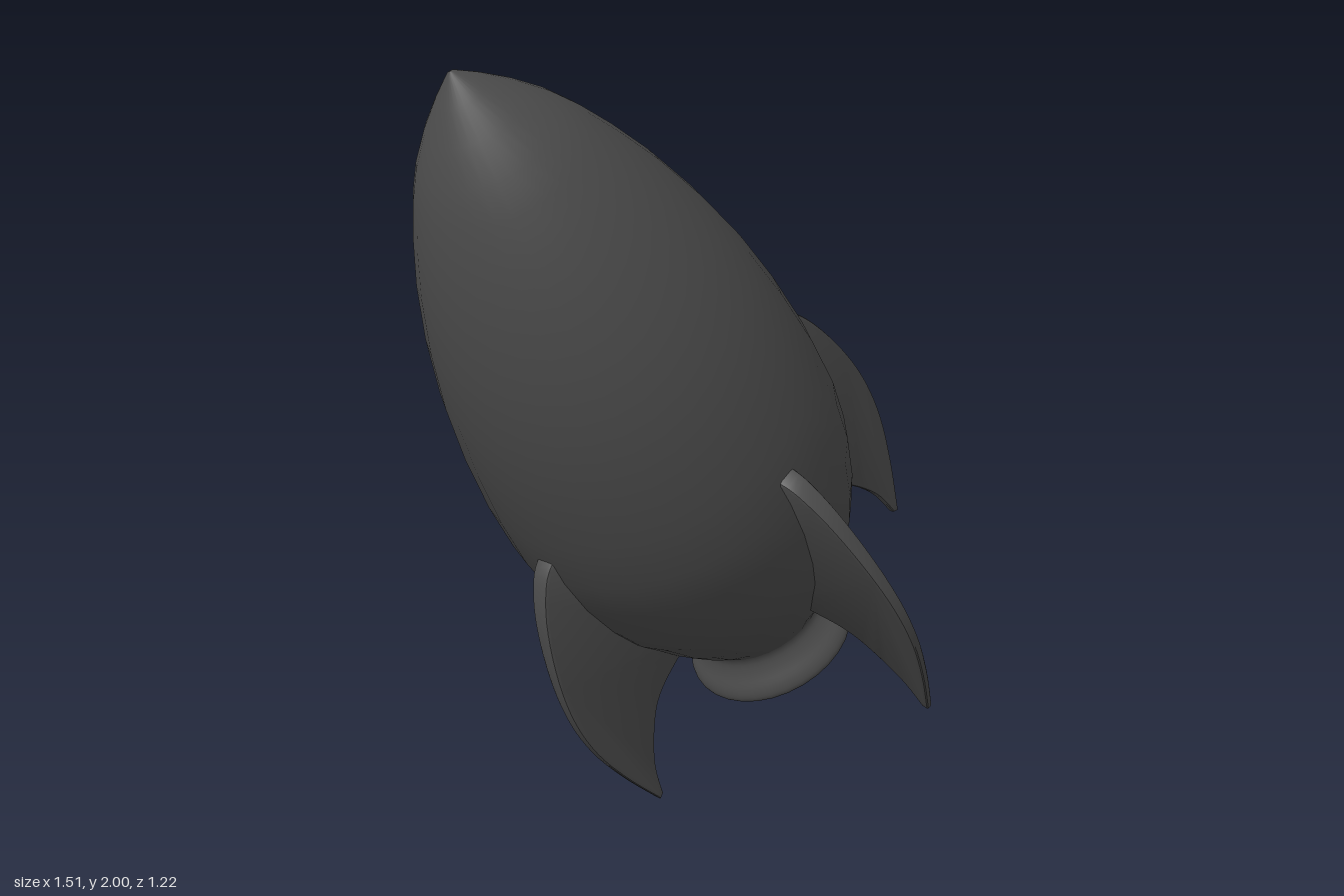
import * as THREE from 'three';
import { toCreasedNormals } from 'three/addons/utils/BufferGeometryUtils.js';

const material = new THREE.MeshStandardMaterial({ color: 0x4d4d4d });
const vec = ([x, y]) => new THREE.Vector2(x, y);

function part(name, geometry) {
  const mesh = new THREE.Mesh(geometry, material);
  mesh.name = name;
  return mesh;
}

// Hull: pointed egg profile given as [radius, height]
function makeHull() {
  const profile = new THREE.SplineCurve([
    [0.165, 0.1], [0.26, 0.215], [0.32, 0.31], [0.377, 0.41], [0.428, 0.58], [0.445, 0.76],
    [0.43, 1.0], [0.39, 1.23], [0.32, 1.46], [0.247, 1.63], [0.181, 1.75], [0.095, 1.86], [0.012, 1.945],
  ].map(vec));
  return part('hull', new THREE.LatheGeometry([...profile.getPoints(18), vec([0, 1.951])], 32));
}

// Nozzle: hollow bowl, rounded lip and flared skirt
function makeNozzle() {
  const profile = new THREE.SplineCurve([
    [0, 0.13], [0.06, 0.122], [0.11, 0.09], [0.135, 0.045], [0.15, 0.01], [0.175, -0.006],
    [0.21, -0.006], [0.22, 0.006], [0.212, 0.032], [0.19, 0.066], [0.176, 0.1], [0.18, 0.13],
  ].map(vec));
  return part('nozzle', new THREE.LatheGeometry(profile.getPoints(36), 32));
}

// Fin: swept blade with bevelled rim, thinning evenly from the upper root to the tip
function makeFinGeometry() {
  const shape = new THREE.Shape();
  shape.moveTo(0.2, 0.25);
  shape.splineThru([[0.267, 0.233], [0.362, 0.198], [0.42, 0.145], [0.48, 0.045], [0.505, -0.05]].map(vec));
  shape.lineTo(0.52, -0.058);
  shape.splineThru([[0.57, 0.085], [0.604, 0.225], [0.61, 0.36], [0.587, 0.5], [0.538, 0.645], [0.48, 0.74], [0.43, 0.775]].map(vec));
  shape.lineTo(0.33, 0.79);
  shape.closePath();
  const geometry = new THREE.ExtrudeGeometry(shape, {
    depth: 0.034, curveSegments: 4, bevelThickness: 0.011, bevelSize: 0.008, bevelOffset: -0.008, bevelSegments: 2,
  });
  geometry.translate(0, 0, -0.017);
  const p = geometry.attributes.position;
  for (let i = 0; i < p.count; i++) {
    const towardsTip = (p.getX(i) * 0.866 - p.getY(i) * 0.5) / 0.475;
    p.setZ(i, p.getZ(i) * (1 - 0.64 * towardsTip));
  }
  return toCreasedNormals(geometry, 0.6);
}

export function createModel() {
  const model = new THREE.Group();
  model.name = 'rocket';

  // Everything is built upright around the nozzle, then leaned to the side
  const leaning = new THREE.Group();
  leaning.name = 'leaningRocket';
  leaning.position.set(0.275, 0.31, 0);
  leaning.rotation.z = Math.PI / 6;
  model.add(leaning);

  leaning.add(makeHull(), makeNozzle());

  // Four fins, turned slightly about the hull
  const finGeometry = makeFinGeometry();
  for (let i = 0; i < 4; i++) {
    const fin = part(`fin${i + 1}`, finGeometry);
    fin.rotation.y = THREE.MathUtils.degToRad(5 + i * 90);
    leaning.add(fin);
  }
  return model;
}
